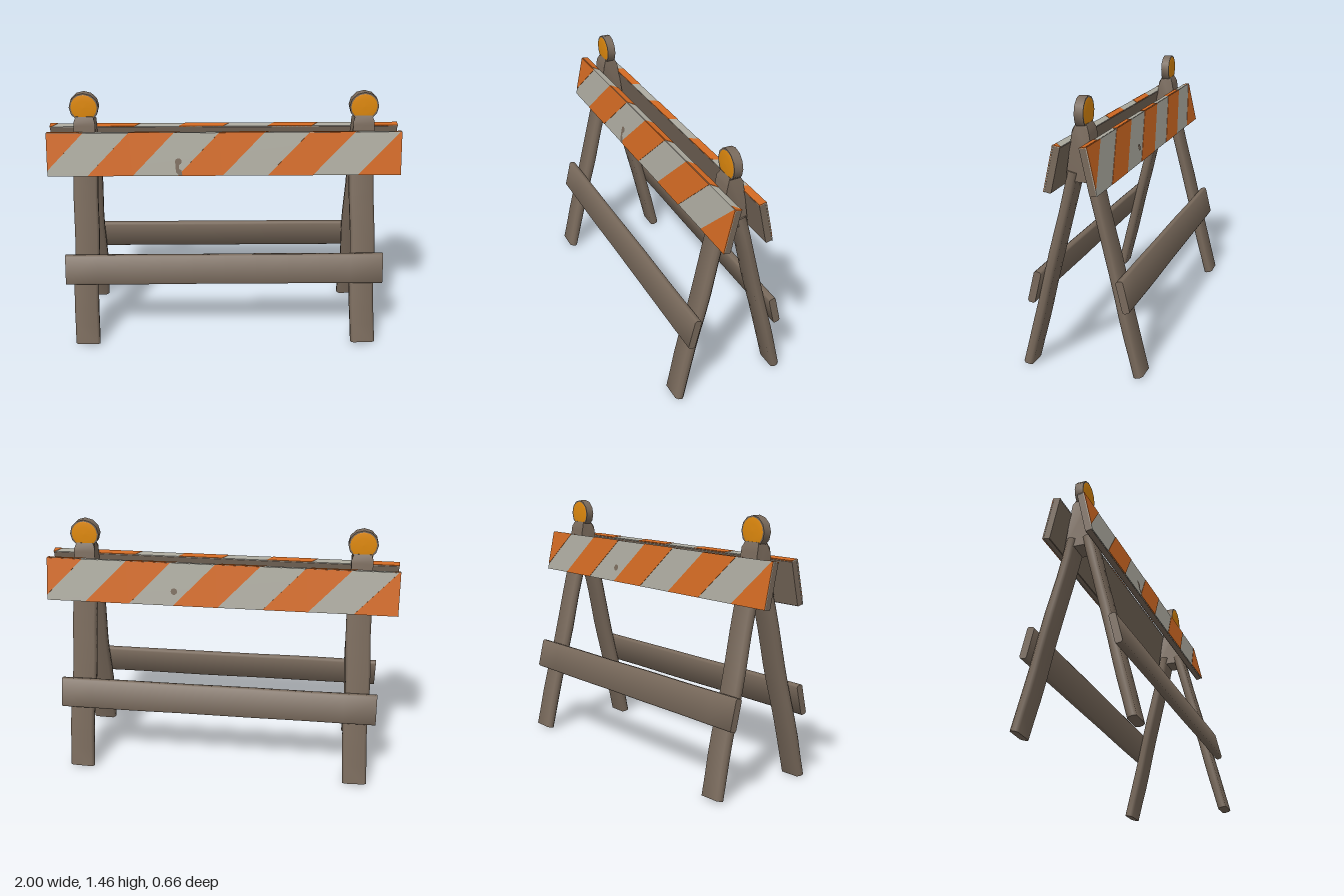
import * as THREE from 'three';
import { toCreasedNormals } from 'three/addons/utils/BufferGeometryUtils.js';

const mat = (name, color) => {
  const m = new THREE.MeshStandardMaterial({ color });
  m.name = name;
  return m;
};

export function createModel() {
  const wood = mat('weatheredWood', 0x78695b);
  const orange = mat('orangePaint', 0xcf6822);
  const white = mat('whitePaint', 0xaaa89d);
  const amber = mat('amberLens', 0xdf890e);

  const add = (parent, name, geometry, material, x = 0, y = 0, z = 0) => {
    const m = new THREE.Mesh(geometry, material);
    m.name = name;
    m.position.set(x, y, z);
    parent.add(m);
    return m;
  };
  const polygon = pts => new THREE.Shape(pts.map(p => new THREE.Vector2(...p)));
  const extrude = (pts, depth, steps = 1) =>
    new THREE.ExtrudeGeometry(polygon(pts), { depth, steps, bevelEnabled: false });

  // Chamfered bar along z, centred, with a faint hewn waviness
  const timber = (w, h, length, c, wave) => {
    const a = w / 2, b = h / 2;
    const g = extrude([[a, c - b], [a, b - c], [a - c, b], [c - a, b],
      [-a, b - c], [-a, c - b], [c - a, -b], [a - c, -b]], length, 10);
    g.translate(0, 0, -length / 2);
    const p = g.attributes.position;
    for (let i = 0; i < p.count; i++) {
      const t = p.getZ(i) / length;
      p.setX(i, p.getX(i) + wave * Math.sin(t * 11 + 1));
      p.setY(i, p.getY(i) * (1 + wave * 8 * Math.sin(t * 17)));
    }
    return g;
  };

  // Striped paint: a white sheet with slanted orange bands on it
  const paint = (parent, name, height, slant, starts, place) => {
    const t = height / 2, b = -t;
    const sheet = new THREE.Group();
    sheet.name = name;
    add(sheet, 'whiteSheet', new THREE.BoxGeometry(2, height, 0.004), white, 0, 0, 0.002);
    for (const s of starts) {
      add(sheet, 'orangeStripe',
        extrude([[s, t], [s - slant, b], [s + 0.255 - slant, b], [s + 0.255, t]], 0.006), orange);
    }
    // End stripes, cut off by the board ends
    const y0 = t - height * Math.min(1, 0.205 / slant);
    const first = slant > 0.205
      ? [[-1, t], [-1, y0], [-0.795, t]]
      : [[-1, t], [-1, b], [-0.795 - slant, b], [-0.795, t]];
    add(sheet, 'orangeEndStripe', extrude(first, 0.006), orange);
    add(sheet, 'orangeEndStripe', extrude([[0.99, t], [0.99 - slant, b], [1, b], [1, t]], 0.006), orange);
    place(sheet);
    parent.add(sheet);
    return sheet;
  };

  // One leaning side: two legs, lower rail and striped top board
  const createSide = front => {
    const side = new THREE.Group();
    side.name = front ? 'frontSide' : 'backSide';

    for (const s of [-1, 1]) {
      const g = timber(0.14, 0.052, 1.1, 0.014, 0.004);
      g.rotateX(-Math.PI / 2);
      const leg = add(side, 'leg', toCreasedNormals(g, 0.9), wood, s * 0.8, 0.541, 0.175);
      leg.rotation.set(-0.24, 0, s * 0.022);
    }

    const railGeo = timber(0.04, 0.174, 1.835, 0.008, 0.001);
    railGeo.rotateY(Math.PI / 2);
    const rail = add(side, 'lowerRail', toCreasedNormals(railGeo, 0.9), wood, -0.002, 0.463, 0.24);
    rail.rotation.x = -0.235;

    const board = new THREE.Group();
    board.name = 'topBoard';
    board.position.set(0, 1.119, 0.092);
    board.rotation.x = -0.218;
    side.add(board);
    const plank = timber(0.036, 0.24, 1.996, 0.003, 0);
    plank.rotateY(Math.PI / 2);
    add(board, 'plank', toCreasedNormals(plank, 0.5), wood);
    const face = paint(board, 'facePaint', 0.244, 0.235, [-0.54, -0.03, 0.48],
      g => g.position.set(0, 0, 0.017));
    paint(board, 'edgePaint', 0.036, 0.035, [-0.505, 0.005, 0.515], g => {
      g.rotation.x = -Math.PI / 2;
      g.position.set(0, 0.119, 0);
    });

    // Bare wood where the paint has chipped
    const spot = new THREE.CircleGeometry(0.019, 10);
    add(face, 'paintChip', spot, wood, -0.26, -0.04, 0.0075);
    if (front) {
      const chip = new THREE.ShapeGeometry(polygon(
        [[-0.278, -0.045], [-0.274, -0.1], [-0.255, -0.121], [-0.238, -0.119], [-0.243, -0.09], [-0.258, -0.08], [-0.255, -0.045]]));
      add(face, 'paintChip', chip, wood, 0, 0, 0.0075);
    }
    return side;
  };

  const model = new THREE.Group();
  model.name = 'barricade';
  model.add(createSide(true));
  const back = createSide(false);
  back.rotation.y = Math.PI;
  model.add(back);

  for (const x of [-0.788, 0.788]) {
    // Head block joining the two legs, narrowing to the lamp neck
    const head = extrude([[-0.035, 1.025], [0.035, 1.025], [0.08, 1.04], [0.046, 1.27], [0.042, 1.29],
      [0.028, 1.32], [-0.028, 1.32], [-0.042, 1.29], [-0.046, 1.27], [-0.08, 1.04]], 0.12, 1);
    head.translate(0, 0, -0.06);
    head.rotateY(Math.PI / 2);
    const p = head.attributes.position;
    for (let i = 0; i < p.count; i++) if (p.getY(i) > 1.3) p.setX(i, p.getX(i) * 0.8);
    add(model, 'headBlock', toCreasedNormals(head, 0.5), wood, x);

    // Warning lamp with a shallow lens on both faces
    const lamp = new THREE.Group();
    lamp.name = 'warningLamp';
    lamp.position.set(x, 1.372, 0);
    const rim = new THREE.CylinderGeometry(0.083, 0.083, 0.048, 12);
    rim.rotateX(Math.PI / 2);
    add(lamp, 'lampHousing', toCreasedNormals(rim, 0.7), wood);
    const lensProfile = [[0.075, 0.023], [0.07, 0.026], [0.04, 0.028], [0, 0.029]]
      .map(q => new THREE.Vector2(...q));
    for (const s of [1, -1]) {
      const lens = add(lamp, 'lens', new THREE.LatheGeometry(lensProfile, 16), amber);
      lens.rotation.x = s * Math.PI / 2;
    }
    model.add(lamp);
  }
  return model;
}
